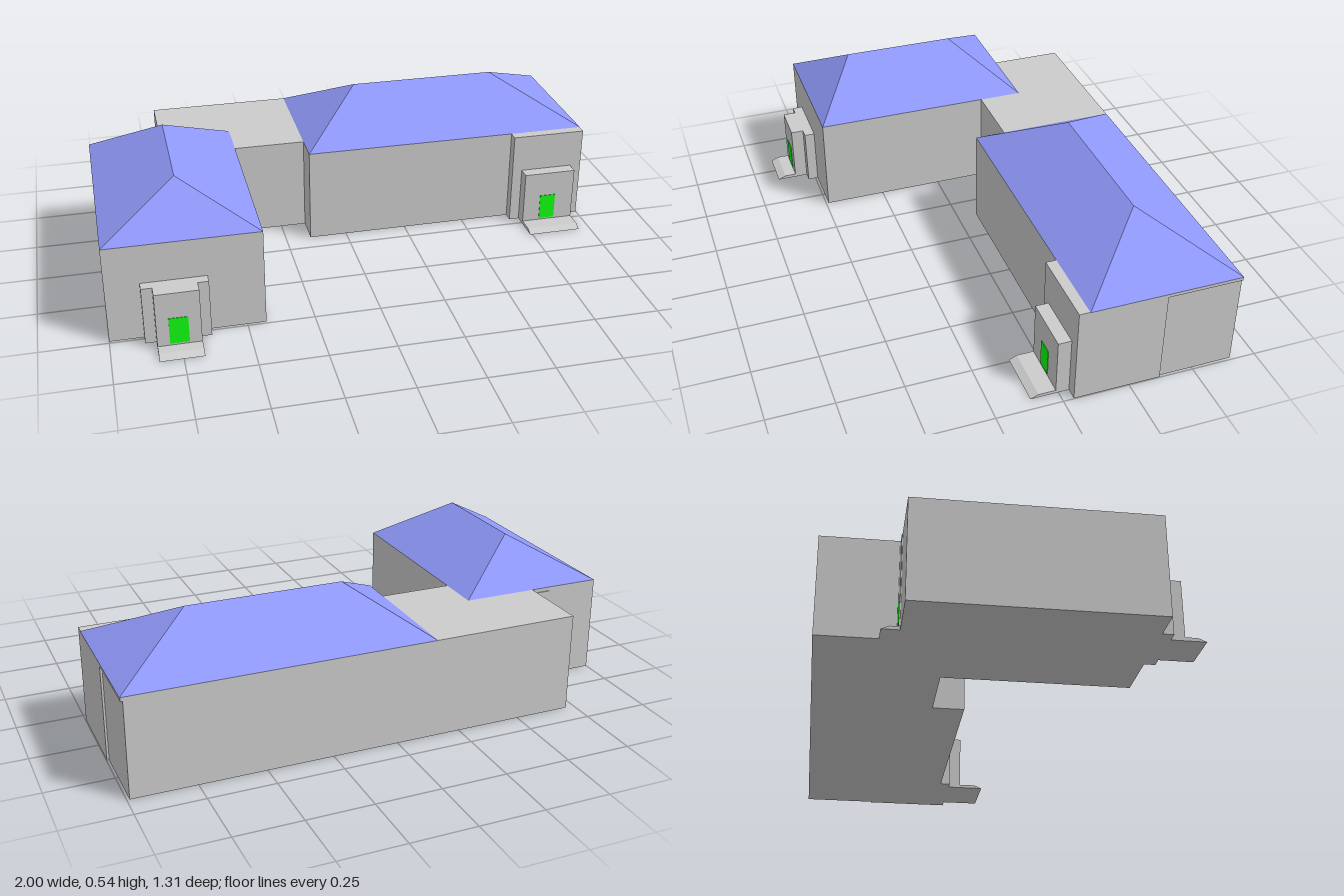
import * as THREE from 'three';

const WALL = 0.38, RIDGE = 0.54;
const grey = new THREE.MeshStandardMaterial({ color: 0xcccccc, flatShading: true });
const blue = new THREE.MeshStandardMaterial({ color: 0x8f98f8, flatShading: true, side: THREE.DoubleSide });
const green = new THREE.MeshStandardMaterial({ color: 0x0fff0f, flatShading: true });

function add(parent, name, geometry, material = grey) {
  const mesh = new THREE.Mesh(geometry, material);
  mesh.name = name;
  parent.add(mesh);
  return mesh;
}

// Box given by its limits on each axis
function block(x0, x1, y0, y1, z0, z1) {
  return new THREE.BoxGeometry(x1 - x0, y1 - y0, z1 - z0)
    .translate((x0 + x1) / 2, (y0 + y1) / 2, (z0 + z1) / 2);
}

// Plan outline of [x, z] points raised to a height
function raisedPlan(points, height) {
  const shape = new THREE.Shape(points.map(([x, z]) => new THREE.Vector2(x, -z)));
  return new THREE.ExtrudeGeometry(shape, { depth: height, bevelEnabled: false }).rotateX(-Math.PI / 2);
}

// Hipped roof: four corners anticlockwise from a long side, and the two ridge ends
function hipRoof(corners, ridge) {
  const [a, b, c, d] = corners.map(([x, z]) => [x, WALL, z]);
  const [p, q] = ridge.map(([x, z]) => [x, RIDGE, z]);
  const faces = [a, b, q, a, q, p, b, c, q, c, d, p, c, p, q, d, a, p];
  const g = new THREE.BufferGeometry();
  g.setAttribute('position', new THREE.Float32BufferAttribute(faces.flat(), 3));
  g.computeVertexNormals();
  return g;
}

// Low doorstep with a sloping outer edge; dir is +1 to the front, -1 to the back
function doorstep(x0, x1, z, length, dir) {
  const h = 0.013;
  const profile = new THREE.Shape([[0, 0], [length, 0], [length - 0.03, h], [0, h]]
    .map(([u, v]) => new THREE.Vector2(u, v)));
  return new THREE.ExtrudeGeometry(profile, { depth: x1 - x0, bevelEnabled: false })
    .rotateY(-dir * Math.PI / 2)
    .translate(dir > 0 ? x1 : x0, 0, z);
}

export function createModel() {
  const model = new THREE.Group();
  model.name = 'building';

  // Walls of both wings and the flat-roofed link between them
  add(model, 'walls', raisedPlan([
    [-1, 0.49], [-0.43, 0.49], [-0.43, -0.2], [-0.15, -0.2], [-0.15, -0.08],
    [0.7, -0.08], [0.7, -0.04], [0.998, -0.04], [0.998, -0.37], [0.99, -0.37],
    [0.99, -0.655], [-0.715, -0.655], [-0.715, -0.37], [-1, -0.37],
  ], WALL));
  // Lintel over the recessed half of the end wall
  add(model, 'endLintel', block(0.99, 0.998, 0.365, WALL, -0.655, -0.37));

  // Hipped roofs
  add(model, 'rightRoof', hipRoof(
    [[-0.15, -0.08], [1, -0.08], [1, -0.655], [-0.15, -0.655]],
    [[0.1, -0.37], [0.69, -0.37]]), blue);
  add(model, 'leftRoof', hipRoof(
    [[-0.43, 0.49], [-0.43, -0.37], [-1, -0.37], [-1, 0.49]],
    [[-0.715, 0.3], [-0.715, -0.145]]), blue);

  // Entrance of the left wing
  const leftEntrance = new THREE.Group();
  leftEntrance.name = 'leftEntrance';
  add(leftEntrance, 'porch', raisedPlan([
    [-0.875, 0.49], [-0.875, 0.53], [-0.835, 0.53], [-0.835, 0.58],
    [-0.675, 0.58], [-0.675, 0.53], [-0.635, 0.53], [-0.635, 0.49],
  ], 0.227));
  add(leftEntrance, 'doorstep', doorstep(-0.835, -0.675, 0.58, 0.075, 1));
  add(leftEntrance, 'door', block(-0.79, -0.72, 0.02, 0.125, 0.575, 0.582), green);

  // Entrance of the right wing
  const rightEntrance = new THREE.Group();
  rightEntrance.name = 'rightEntrance';
  add(rightEntrance, 'porch', block(0.74, 0.953, 0, 0.227, -0.04, 0.01));
  add(rightEntrance, 'doorstep', doorstep(0.74, 0.953, 0.01, 0.095, 1));
  add(rightEntrance, 'door', block(0.81, 0.875, 0.02, 0.125, 0.005, 0.012), green);

  // Back entrance in the corner beside the link
  const backEntrance = new THREE.Group();
  backEntrance.name = 'backEntrance';
  add(backEntrance, 'doorPanel', block(-0.79, -0.715, 0, 0.365, -0.374, -0.37));
  add(backEntrance, 'doorstep', doorstep(-0.79, -0.715, -0.374, 0.061, -1));
  add(backEntrance, 'door', block(-0.787, -0.718, 0.02, 0.125, -0.376, -0.37), green);

  model.add(leftEntrance, rightEntrance, backEntrance);
  return model;
}
